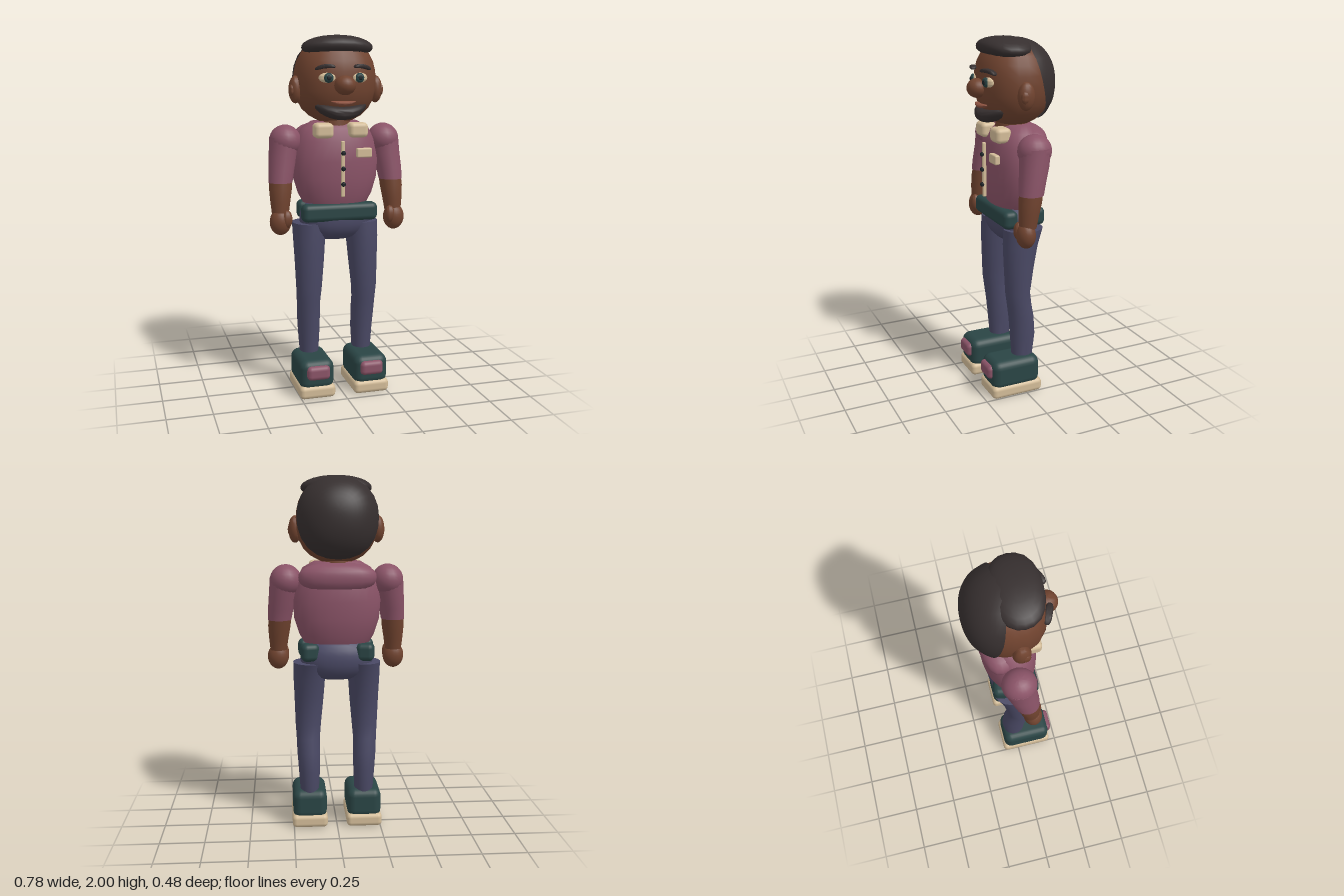
import * as THREE from 'three';
import { toCreasedNormals } from 'three/addons/utils/BufferGeometryUtils.js';
import { RoundedBoxGeometry } from 'three/addons/geometries/RoundedBoxGeometry.js';

const mat = (name, color) => Object.assign(new THREE.MeshStandardMaterial({ color }), { name });

// Moves every vertex by a rule, then rebuilds the normals
function reshape(geo, rule, crease = 0.9) {
  const p = geo.attributes.position, v = new THREE.Vector3();
  for (let i = 0; i < p.count; i++) {
    v.fromBufferAttribute(p, i);
    rule(v);
    p.setXYZ(i, v.x, v.y, v.z);
  }
  geo.deleteAttribute('uv');
  geo.deleteAttribute('normal');
  return toCreasedNormals(geo, crease);
}

// Pushes a unit direction out to a squarish ball
const square = (v, n) => v.divideScalar(
  (Math.abs(v.x) ** n + Math.abs(v.y) ** n + Math.abs(v.z) ** n) ** (1 / n));

// Ellipsoid with squareness n and upward / backward bend along x
function blob(r, n = 2, bendY = 0, bendZ = 0) {
  return reshape(new THREE.SphereGeometry(1, 20, 14), v => {
    square(v, n).multiply(new THREE.Vector3(...r));
    const q = v.x * v.x;
    v.y += bendY * q;
    v.z += bendZ * q;
  });
}

// Closed body through rings of [y, centre x, centre z, radius x, radius z]
function loft(rings, sides = 20, n = 2) {
  const last = rings.length - 1;
  return reshape(new THREE.CylinderGeometry(1, 1, 1, sides, last), v => {
    const [y, cx, cz, rx, rz] = rings[Math.round((0.5 - v.y) * last)];
    const len = Math.hypot(v.x, v.z);
    const k = len > 0.5 ? (Math.abs(v.x) ** n + Math.abs(v.z) ** n) ** (-1 / n) : 0;
    v.set(cx + v.x * k * rx, y, cz + v.z * k * rz);
  });
}

export function createModel() {
  const skin = mat('skin', 0x70432f), lip = mat('lip', 0x8c5240), hair = mat('hair', 0x362f2f);
  const shirt = mat('shirt', 0x8a5367), trousers = mat('trousers', 0x4a4965);
  const teal = mat('teal', 0x2a4545), cream = mat('cream', 0xd3bc98);
  const dark = mat('dark', 0x1b2226);
  hair.side = THREE.DoubleSide;

  const model = new THREE.Group();
  const add = (name, geo, material, x = 0, y = 0, z = 0, rot = [0, 0, 0]) => {
    const m = new THREE.Mesh(geo, material);
    m.name = name;
    m.position.set(x, y, z);
    m.rotation.set(...rot);
    model.add(m);
    return m;
  };
  const box = (w, h, d, r) => new RoundedBoxGeometry(w, h, d, 3, r);

  // Head, neck and hair
  add('head', blob([0.225, 0.23, 0.195], 2.35), skin, 0, 1.755, -0.02);
  add('neck', new THREE.CylinderGeometry(0.085, 0.1, 0.14, 20), skin, 0, 1.52, -0.02);
  const cap = new THREE.SphereGeometry(1, 24, 12, 0, Math.PI * 2, 0, 1.23);
  cap.rotateX(-1.31);
  add('backHair', reshape(cap, v =>
    square(v, 2.25).multiply(new THREE.Vector3(0.232, 0.238, 0.224))), hair, 0, 1.755, -0.02);
  add('topHair', blob([0.196, 0.053, 0.13], 2.3, -0.4), hair, 0, 1.946, 0.03);

  // Face
  add('nose', blob([0.058, 0.052, 0.055]), skin, 0, 1.733, 0.186);
  add('mouth', blob([0.07, 0.012, 0.022], 2, 2, -1), lip, 0, 1.637, 0.165);
  add('beard', blob([0.145, 0.036, 0.055], 2.3, 1.9, -1.8), hair, 0, 1.583, 0.132);

  // Torso, back yoke and shirt trim
  add('torso', loft([
    [1.535, 0, -0.03, 0.13, 0.07], [1.5, 0, -0.02, 0.19, 0.11], [1.43, 0, -0.018, 0.225, 0.14],
    [1.32, 0, -0.017, 0.245, 0.147], [1.22, 0, -0.017, 0.238, 0.146],
    [1.13, 0, -0.014, 0.21, 0.134], [1.085, 0, -0.012, 0.185, 0.118],
  ], 28, 2.2), shirt);
  add('backYoke', blob([0.215, 0.082, 0.095], 2.4), shirt, 0, 1.45, -0.085);
  add('placket', box(0.02, 0.305, 0.02, 0.005), cream, 0, 1.283, 0.148);
  for (const y of [1.37, 1.285, 1.2]) add('button', blob([0.013, 0.013, 0.012]), dark, 0, y, 0.16);
  add('chestPocket', box(0.085, 0.052, 0.03, 0.008), cream, 0.122, 1.368, 0.14);

  // Hips and belt
  add('hips', blob([0.205, 0.125, 0.125], 2.3), trousers, 0, 0.99, -0.012);
  add('beltFront', box(0.43, 0.1, 0.085, 0.03), teal, 0, 1.035, 0.078);

  // Paired parts
  for (const s of [1, -1]) {
    add('ear', blob([0.037, 0.075, 0.047]), skin, s * 0.228, 1.708, 0.005);
    add('innerEar', blob([0.018, 0.035, 0.025]), skin, s * 0.25, 1.705, 0.02);
    add('eye', blob([0.046, 0.027, 0.022]), cream, s * 0.09, 1.772, 0.156, [0, s * 0.25, 0]);
    add('iris', blob([0.026, 0.026, 0.014]), teal, s * 0.086, 1.772, 0.172, [0, s * 0.2, 0]);
    add('pupil', blob([0.013, 0.013, 0.008]), dark, s * 0.086, 1.772, 0.182);
    add('eyebrow', blob([0.055, 0.011, 0.02], 3, -3), hair,
      s * 0.103, 1.832, 0.163, [0, s * 0.4, s * -0.12]);
    add('collar', box(0.107, 0.082, 0.09, 0.024), cream, s * 0.097, 1.49, 0.093);

    // Arm
    add('shoulder', blob([0.088, 0.088, 0.093]), shirt, s * 0.283, 1.43, -0.018);
    add('sleeve', loft([
      [1.45, s * 0.288, -0.018, 0.082, 0.086], [1.35, s * 0.3, -0.008, 0.077, 0.08],
      [1.27, s * 0.312, 0.008, 0.071, 0.073], [1.205, s * 0.319, 0.018, 0.066, 0.068],
    ]), shirt);
    add('forearm', loft([
      [1.26, s * 0.314, 0.01, 0.063, 0.063], [1.17, s * 0.321, 0.024, 0.063, 0.063],
      [1.1, s * 0.325, 0.034, 0.055, 0.056], [1.03, s * 0.327, 0.04, 0.046, 0.047],
    ]), skin);
    add('hand', blob([0.06, 0.073, 0.052]), skin, s * 0.329, 0.99, 0.052);
    add('thumb', blob([0.029, 0.05, 0.03]), skin, s * 0.297, 1.008, 0.078);

    // Belt back piece
    add('beltBack', box(0.1, 0.1, 0.09, 0.03), teal, s * 0.155, 1.035, -0.085, [0, s * 0.2, 0]);

    // Leg
    add('leg', loft([
      [0.97, s * 0.15, -0.018, 0.096, 0.113], [0.88, s * 0.155, 0, 0.09, 0.1],
      [0.76, s * 0.157, 0.01, 0.083, 0.086], [0.6, s * 0.162, 0.02, 0.073, 0.07],
      [0.52, s * 0.163, 0.01, 0.067, 0.07], [0.44, s * 0.161, -0.003, 0.066, 0.073],
      [0.33, s * 0.158, -0.012, 0.061, 0.073], [0.2, s * 0.157, -0.01, 0.053, 0.06],
    ]), trousers);

    // Shoe
    add('sole', box(0.204, 0.075, 0.306, 0.025), cream, s * 0.157, 0.0375, 0.058);
    add('shoeUpper', box(0.195, 0.17, 0.29, 0.045), teal, s * 0.157, 0.133, 0.06);
    add('toePatch', box(0.132, 0.08, 0.06, 0.025), shirt, s * 0.155, 0.152, 0.197);
  }
  return model;
}
